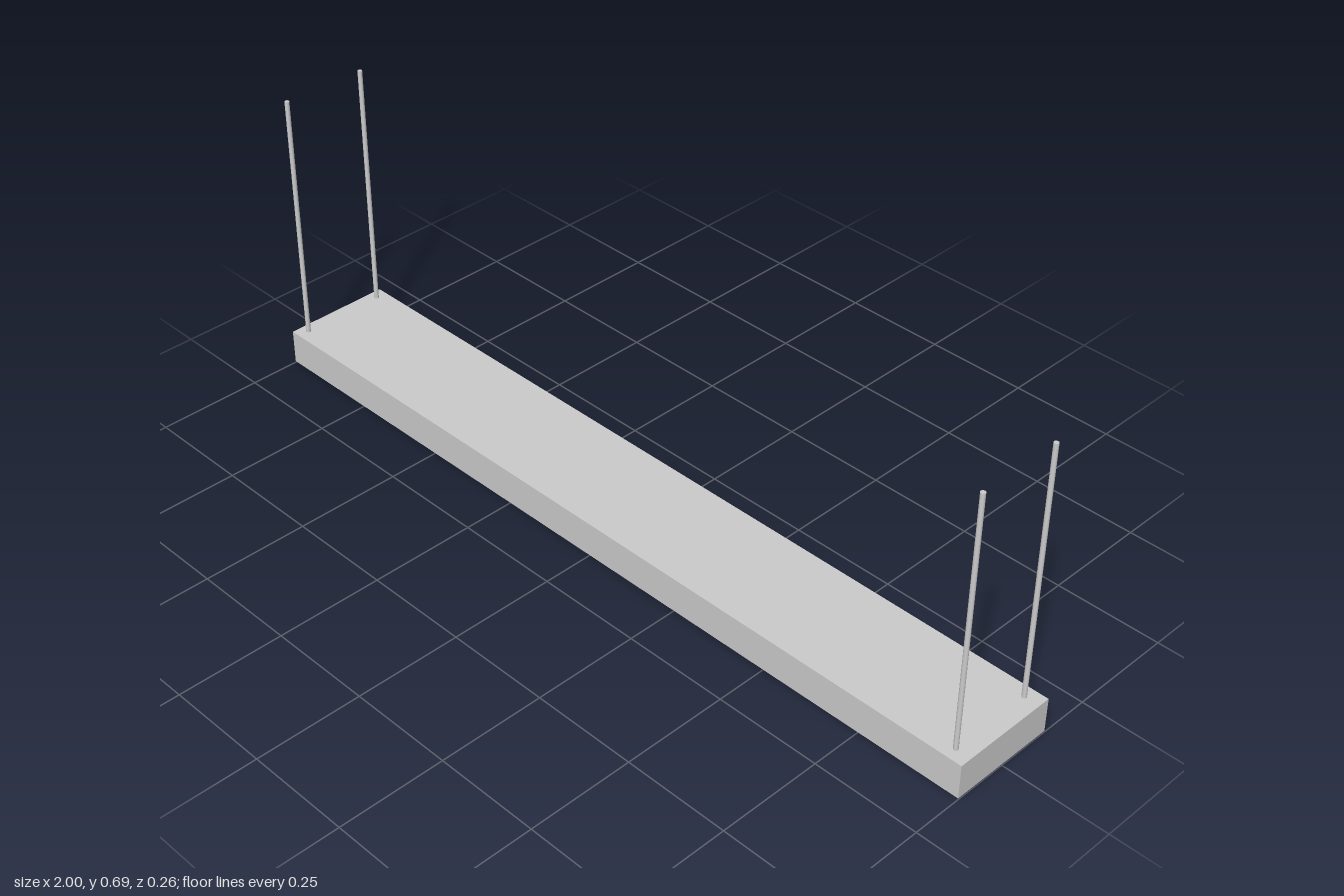
import * as THREE from 'three';

const material = new THREE.MeshStandardMaterial({ color: 0xcccccc });

function addPart(parent, name, geometry, x, y, z) {
  const mesh = new THREE.Mesh(geometry, material);
  mesh.name = name;
  mesh.position.set(x, y, z);
  parent.add(mesh);
  return mesh;
}

export function createModel() {
  const model = new THREE.Group();
  model.name = 'hangingLamp';

  const panelDepth = 0.003;
  const bodyTop = 0.086;
  const rodTop = 0.69;

  // Long flat housing
  const bodyHeight = bodyTop - panelDepth;
  addPart(model, 'housing', new THREE.BoxGeometry(2, bodyHeight, 0.26),
    0, panelDepth + bodyHeight / 2, 0);

  // Thin light panel under the housing
  addPart(model, 'lightPanel', new THREE.BoxGeometry(1.42, panelDepth, 0.21),
    0, panelDepth / 2, 0);

  // Four hanging rods, one near each corner
  const rodLength = rodTop - bodyTop;
  const rodGeometry = new THREE.CylinderGeometry(0.0055, 0.0055, rodLength, 16);
  for (const [side, x] of [['Left', 0.963], ['Right', -0.977]]) {
    for (const [end, z] of [['front', 0.102], ['back', -0.102]]) {
      addPart(model, `${end}${side}Rod`, rodGeometry, x, bodyTop + rodLength / 2, z);
    }
  }

  return model;
}
